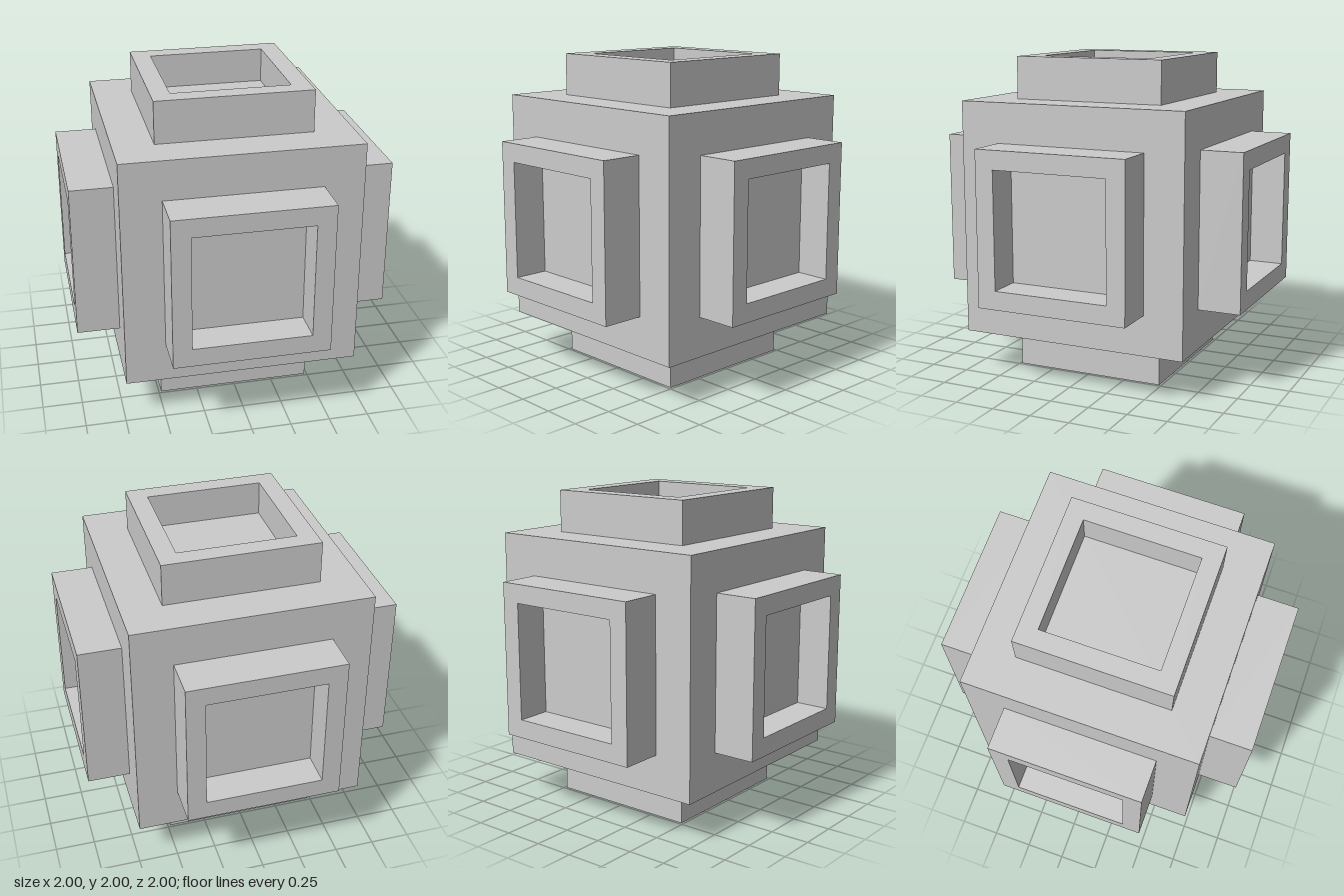
import * as THREE from 'three';

const CORE = 0.735;   // half size of the central cube
const FRAME = 0.485;  // half size of a raised socket
const HOLE = 0.367;   // half size of its recess
const FLOOR = 0.784;  // distance of the recess floor from the centre

const material = new THREE.MeshStandardMaterial({ color: 0xcccccc, flatShading: true });

function squarePath(PathType, h) {
  return new PathType([[-h, -h], [h, -h], [h, h], [-h, h]].map(([x, y]) => new THREE.Vector2(x, y)));
}

function addMesh(parent, name, geometry, z = 0) {
  const mesh = new THREE.Mesh(geometry, material);
  mesh.name = name;
  mesh.position.z = z;
  parent.add(mesh);
}

// Square frame with a shallow recess, standing on the cube's +z side
function createSocket(name) {
  const socket = new THREE.Group();
  socket.name = name;
  const outline = squarePath(THREE.Shape, FRAME);
  outline.holes.push(squarePath(THREE.Path, HOLE));
  const rim = new THREE.ExtrudeGeometry(outline, { depth: 1 - CORE, bevelEnabled: false });
  addMesh(socket, 'socketRim', rim, CORE);
  const floor = new THREE.BoxGeometry(2 * HOLE, 2 * HOLE, FLOOR - CORE);
  addMesh(socket, 'socketFloor', floor, (CORE + FLOOR) / 2);
  return socket;
}

export function createModel() {
  const model = new THREE.Group();
  model.name = 'socketCube';
  const body = new THREE.Group();
  body.name = 'body';
  body.position.y = 1;
  model.add(body);

  addMesh(body, 'core', new THREE.BoxGeometry(2 * CORE, 2 * CORE, 2 * CORE));

  // One socket on each of the six sides
  const q = Math.PI / 2;
  const sides = {
    front: [0, 0], left: [0, q], back: [0, 2 * q],
    right: [0, -q], top: [-q, 0], bottom: [q, 0],
  };
  for (const [side, [rx, ry]] of Object.entries(sides)) {
    const socket = createSocket(side + 'Socket');
    socket.rotation.set(rx, ry, 0);
    body.add(socket);
  }
  return model;
}
